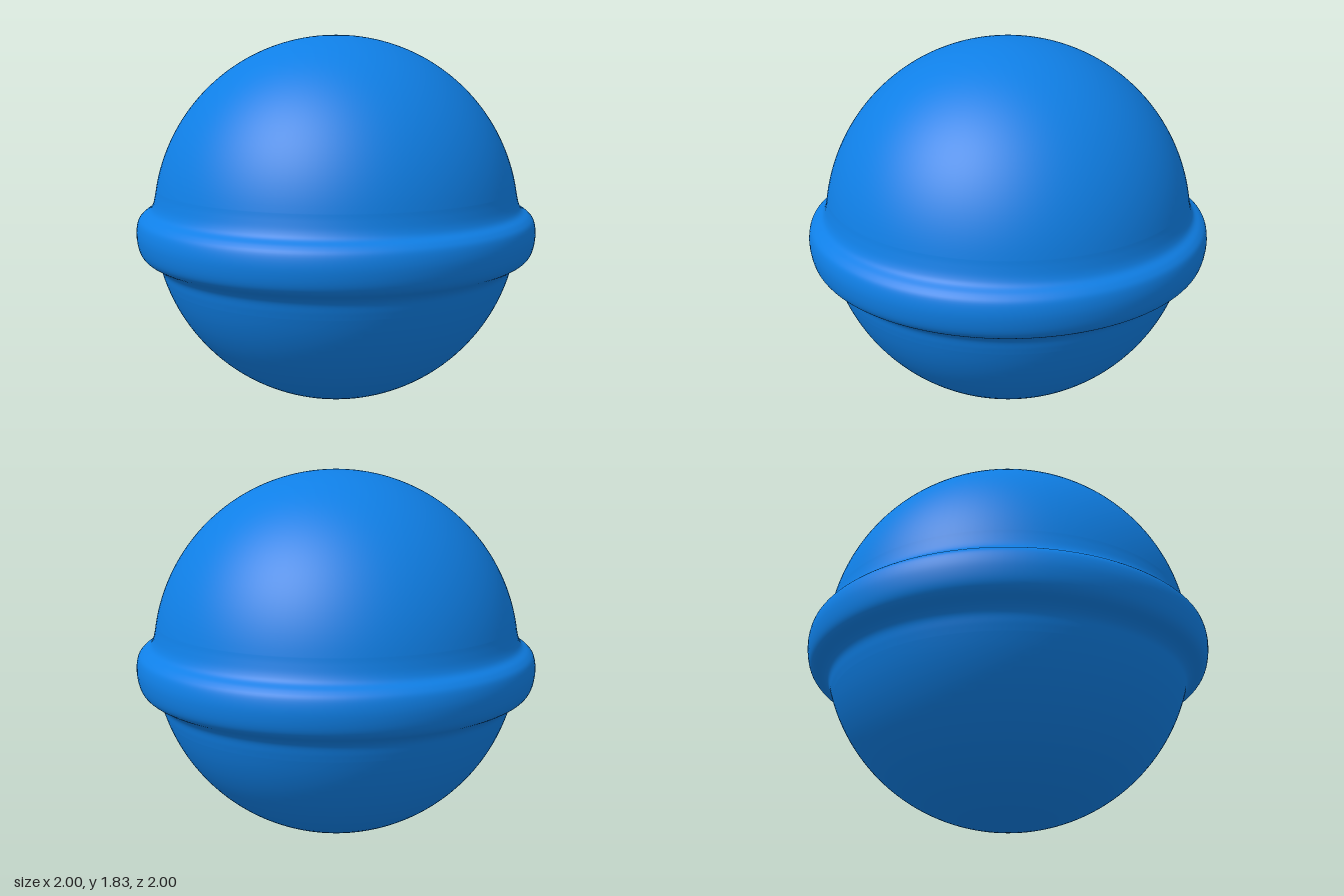
import * as THREE from 'three';

const R = 0.914; // sphere radius, also the height of its centre

// Points on the sphere's outline between two heights
function arc(y0, y1, steps) {
  const a0 = Math.asin(THREE.MathUtils.clamp((y0 - R) / R, -1, 1));
  const a1 = Math.asin(THREE.MathUtils.clamp((y1 - R) / R, -1, 1));
  const points = [];
  for (let i = 0; i <= steps; i++) {
    const a = a0 + (a1 - a0) * i / steps;
    points.push(new THREE.Vector2(Math.max(0, R * Math.cos(a)), R + R * Math.sin(a)));
  }
  return points;
}

export function createModel() {
  const group = new THREE.Group();
  group.name = 'ringedBall';

  const lower = arc(0, 0.64, 32);
  const upper = arc(1.05, 2 * R, 40);

  // Rounded belt that flows out of the sphere through soft fillets
  const belt = new THREE.SplineCurve([
    ...lower.slice(-2),
    ...[[0.887, 0.685], [0.915, 0.715], [0.966, 0.748], [0.99, 0.79], [1, 0.86],
      [0.991, 0.92], [0.967, 0.951], [0.932, 0.975], [0.915, 1.005]]
      .map(([x, y]) => new THREE.Vector2(x, y)),
    ...upper.slice(0, 2),
  ]).getPoints(60);

  const profile = [...lower.slice(0, -2), ...belt, ...upper.slice(2)];
  const ball = new THREE.Mesh(
    new THREE.LatheGeometry(profile, 128),
    new THREE.MeshStandardMaterial({ color: 0x0f7fe6 })
  );
  ball.name = 'ballWithBelt';
  group.add(ball);
  return group;
}
